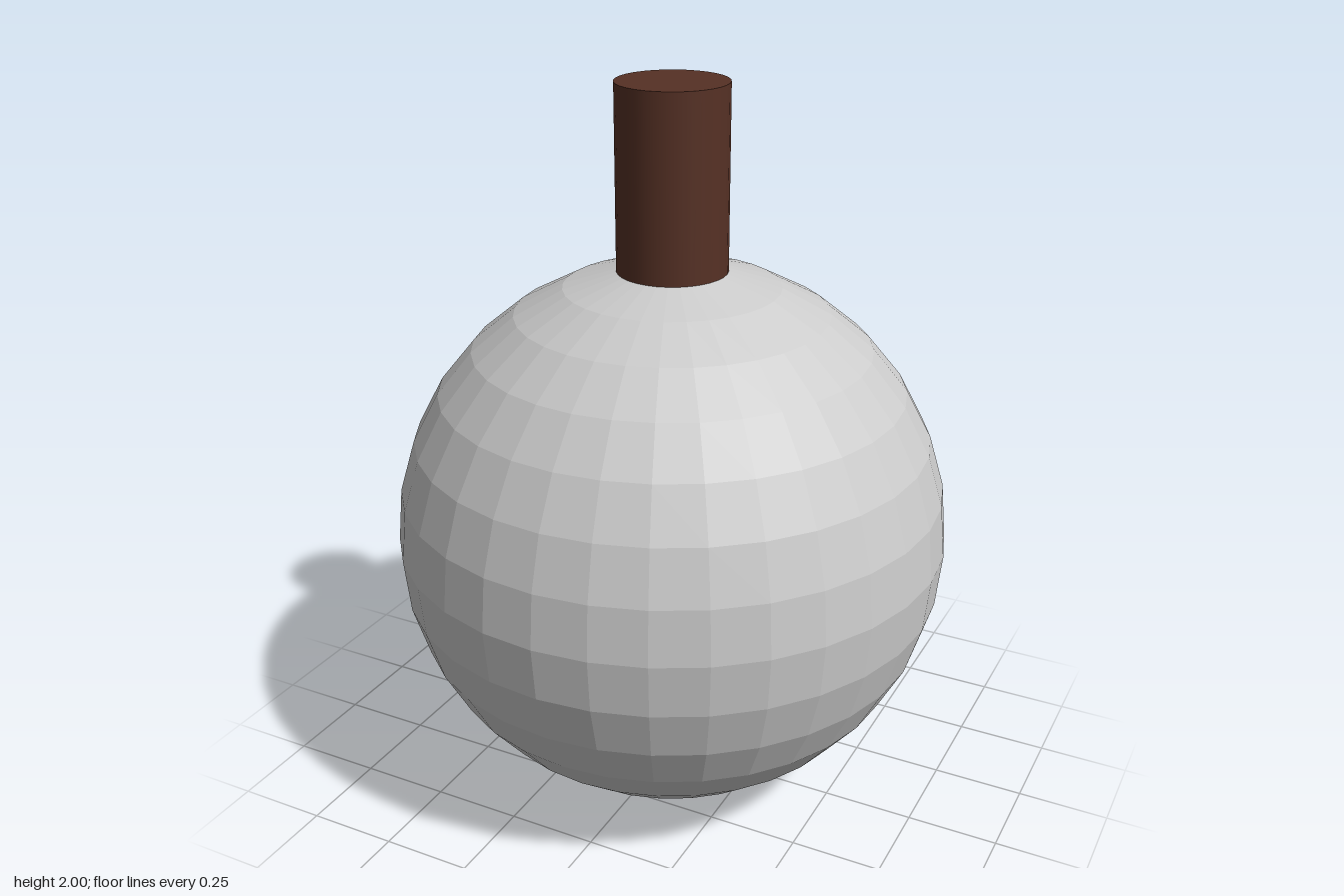
import * as THREE from 'three';

const RADIUS = 0.761;
const SIDES = 32;
const RINGS = 16;
const TOP = 2;

export function createModel() {
  const model = new THREE.Group();
  const step = Math.PI / RINGS;

  // Faceted ball, open at the first ring where the stem takes over
  const ball = new THREE.Mesh(
    new THREE.SphereGeometry(RADIUS, SIDES, RINGS - 1, 0, Math.PI * 2, step, Math.PI - step),
    new THREE.MeshStandardMaterial({ color: 0xcccccc, flatShading: true })
  );
  ball.name = 'ball';
  ball.position.y = RADIUS;
  model.add(ball);

  // Smooth stem rising from that ring
  const stemRadius = RADIUS * Math.sin(step);
  const stemBase = RADIUS + RADIUS * Math.cos(step);
  const stem = new THREE.Mesh(
    new THREE.CylinderGeometry(stemRadius, stemRadius, TOP - stemBase, SIDES),
    new THREE.MeshStandardMaterial({ color: 0x563125 })
  );
  stem.name = 'stem';
  stem.position.y = (stemBase + TOP) / 2;
  model.add(stem);

  return model;
}
